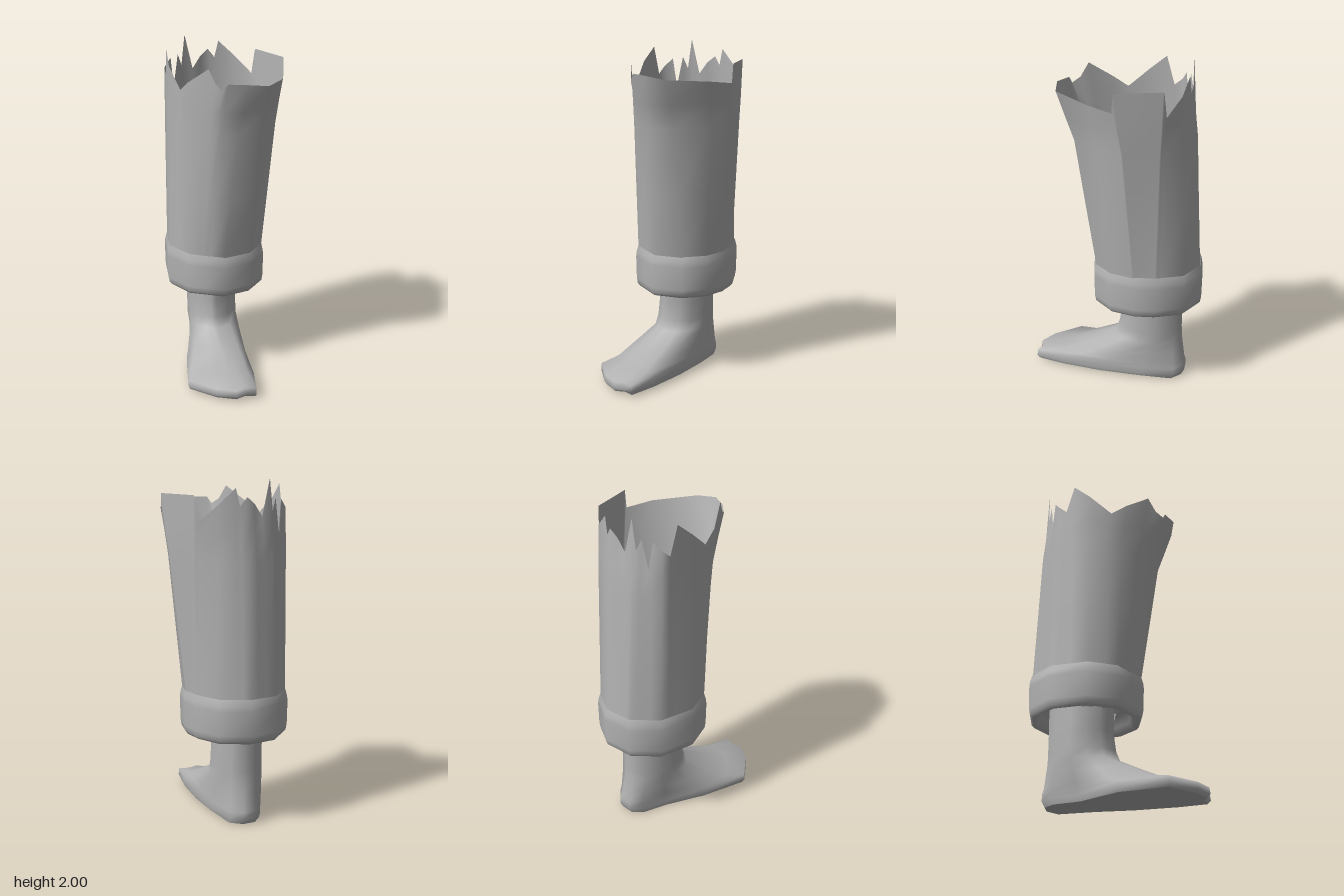
import * as THREE from 'three';

const grey = new THREE.MeshStandardMaterial({ color: 0xb2b2b2, side: THREE.DoubleSide });
grey.name = 'plainGrey';

// Outlines run from the front round towards +x, as [x, z].
const CUFF = [[-0.08, 0.15], [0.11, 0.13], [0.23, 0.03], [0.285, -0.12], [0.285, -0.25], [0.23, -0.42],
  [0.07, -0.52], [-0.11, -0.515], [-0.26, -0.39], [-0.32, -0.17], [-0.26, 0.01], [-0.17, 0.08]];
const RIM = [[-0.02, 0.35], [0.11, 0.34], [0.29, 0.14], [0.365, -0.01], [0.31, -0.28], [0.21, -0.38],
  [0.06, -0.44], [-0.11, -0.43], [-0.25, -0.36], [-0.29, -0.17], [-0.26, 0.05], [-0.14, 0.28]];
const ANKLE = [[-0.06, -0.02], [0.02, -0.03], [0.08, -0.08], [0.125, -0.16], [0.125, -0.25], [0.1, -0.35],
  [0.04, -0.385], [-0.03, -0.4], [-0.1, -0.36], [-0.16, -0.27], [-0.17, -0.18], [-0.155, -0.1],
  [-0.12, -0.06], [-0.09, -0.03]];
const SOLE = [[-0.09, 0.495], [-0.03, 0.52], [0.03, 0.35], [0.09, 0.1], [0.125, -0.15], [0.12, -0.36],
  [0.06, -0.425], [-0.02, -0.43], [-0.08, -0.38], [-0.14, -0.22], [-0.27, 0], [-0.365, 0.28],
  [-0.25, 0.44], [-0.15, 0.51]];

// Torn edge as [position round the outline, height].
const TEAR = [[0, 1.86], [1, 1.84], [2, 1.82], [2.95, 1.8], [3, 1.91], [4, 1.91], [4.06, 1.9], [4.2, 1.76],
  [5, 1.86], [5.6, 1.95], [5.75, 1.85], [6, 1.9], [6.3, 1.86], [6.6, 1.79], [6.9, 2], [7.05, 1.82],
  [7.25, 1.89], [7.5, 1.7], [7.65, 1.88], [8, 1.83], [8.25, 1.79], [8.5, 1.96], [9, 1.88], [9.6, 1.77],
  [10, 1.83], [10.6, 1.93], [10.8, 1.85], [11, 1.82], [11.2, 1.86]];

const mix = THREE.MathUtils.lerp;
const blend = (a, b, f, g = f) => a.map(([x, z], i) => [mix(x, b[i][0], f), mix(z, b[i][1], g)]);
const scaled = (o, s, cx, cz) => o.map(([x, z]) => [cx + (x - cx) * s, cz + (z - cz) * s]);
const atHeight = (o, y) => o.map(([x, z]) => [x, y, z]);

// Point part-way along a closed outline.
function sample(o, t) {
  const i = Math.floor(t), a = o[i % o.length], b = o[(i + 1) % o.length];
  return [mix(a[0], b[0], t - i), mix(a[1], b[1], t - i)];
}

// Smooth skin through closed rings, listed from bottom to top.
function loft(name, rings) {
  const n = rings[0].length, index = [];
  for (let r = 0; r < rings.length - 1; r++) {
    for (let k = 0; k < n; k++) {
      const a = r * n + k, b = r * n + (k + 1) % n;
      index.push(a, b, b + n, a, b + n, a + n);
    }
  }
  return makeMesh(name, rings.flat(2), index);
}

function makeMesh(name, positions, index) {
  const geo = new THREE.BufferGeometry();
  geo.setAttribute('position', new THREE.Float32BufferAttribute(positions, 3));
  geo.setIndex(index);
  geo.computeVertexNormals();
  const mesh = new THREE.Mesh(geo, grey);
  mesh.name = name;
  return mesh;
}

export function createModel() {
  const model = new THREE.Group();
  model.name = 'lowerLeg';
  const cuffRing = (s) => scaled(CUFF, s, -0.015, -0.19);

  // Trouser leg: widens upwards and ends in a torn edge
  const hem = cuffRing(0.95);
  const level = (y, f, g) => {
    const o = blend(hem, RIM, f, g);
    return TEAR.map(([t]) => { const [x, z] = sample(o, t); return [x, y, z]; });
  };
  const top = TEAR.map(([t, y]) => { const [x, z] = sample(RIM, t); return [x, y, z]; });
  model.add(loft('trouserLeg', [
    level(0.74, 0, 0), level(1.15, 0.38, 0.28), level(1.55, 0.75, 0.55), level(1.69, 0.87, 0.77), top,
  ]));

  // Rolled cuff, folding inwards round the ankle
  const cuffProfile = [[0.55, 0.52], [0.59, 0.57], [0.615, 0.64], [0.6, 0.72], [0.55, 0.8], [0.515, 0.86],
    [0.508, 0.92], [0.525, 0.97], [0.56, 0.99], [0.7, 1], [0.73, 0.99], [0.77, 0.955]];
  model.add(loft('cuff', cuffProfile.map(([y, s]) => atHeight(cuffRing(s), y))));

  // Bare foot and ankle: [height, spread from ankle outline to sole outline]
  const footProfile = [[0.035, 1], [0.075, 0.99], [0.1, 0.7], [0.175, 0.38], [0.25, 0.07],
    [0.31, 0.02], [0.42, -0.01], [0.6, 0]];
  const base = scaled(SOLE, 0.96, -0.08, 0.05).map(([x, z]) => [x, z < -0.2 ? 0 : 0.014, z]);
  model.add(loft('foot', [base, ...footProfile.map(([y, s]) => atHeight(blend(ANKLE, SOLE, s), y))]));

  // Flat underside of the foot
  const n = base.length, fan = [];
  for (let k = 0; k < n; k++) fan.push(n, (k + 1) % n, k);
  model.add(makeMesh('sole', [...base.flat(), -0.06, 0.012, 0.05], fan));

  return model;
}
